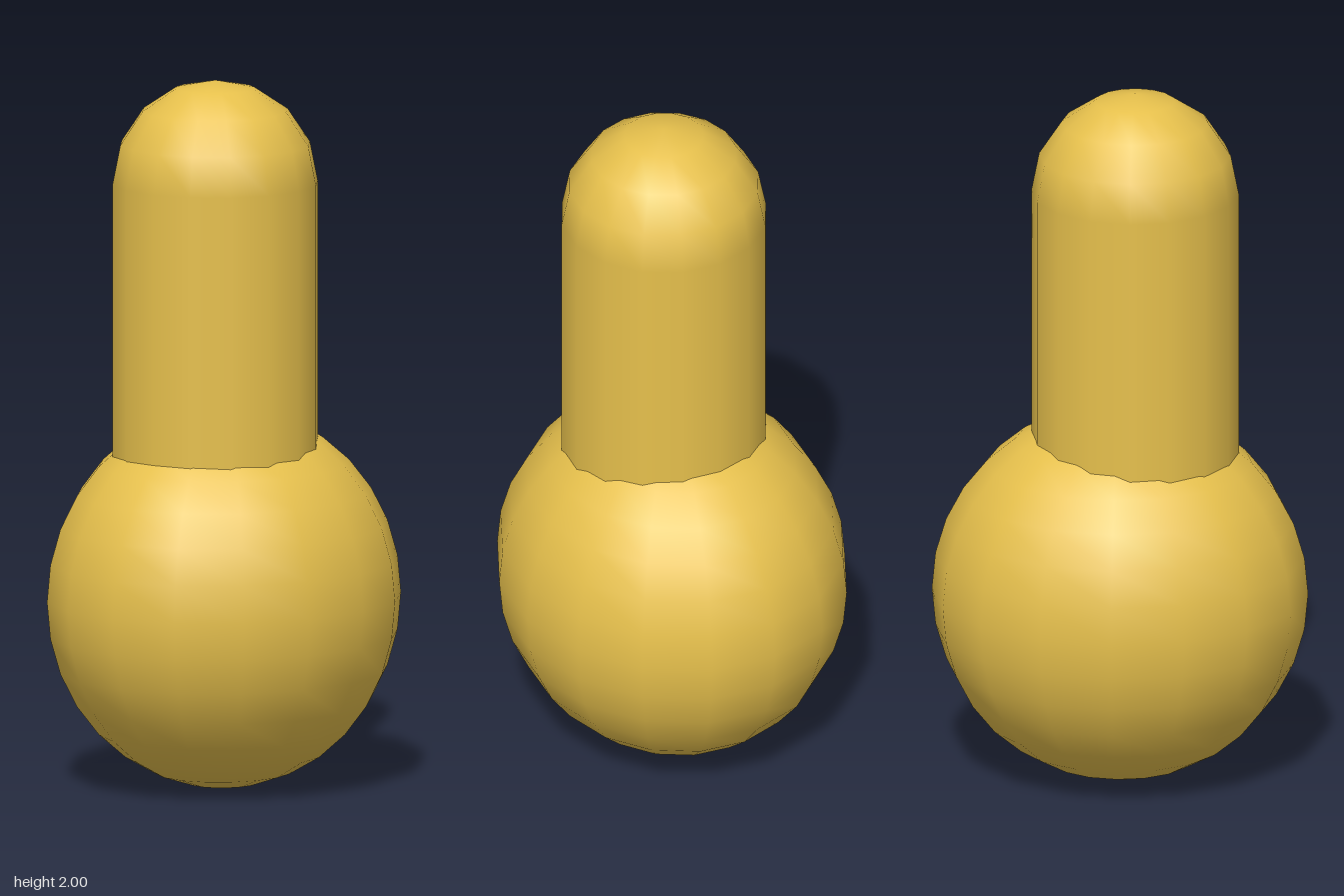
import * as THREE from 'three';

export function createModel() {
  const model = new THREE.Group();
  model.name = 'knobWithStem';
  const material = new THREE.MeshStandardMaterial({ color: 0xe6c04c });

  // Slightly flattened ball at the base
  const ball = new THREE.Mesh(new THREE.SphereGeometry(1, 16, 16), material);
  ball.name = 'ball';
  ball.scale.set(0.526, 0.535, 0.481);
  ball.position.y = 0.535;
  model.add(ball);

  // Round-ended stem, set a little off centre and sunk into the ball
  const radius = 0.29, top = 2, bottom = 0.6;
  const stem = new THREE.Mesh(
    new THREE.CapsuleGeometry(radius, top - bottom - 2 * radius, 4, 16), material);
  stem.name = 'stem';
  stem.position.set(-0.042, (top + bottom) / 2, 0);
  model.add(stem);

  return model;
}
